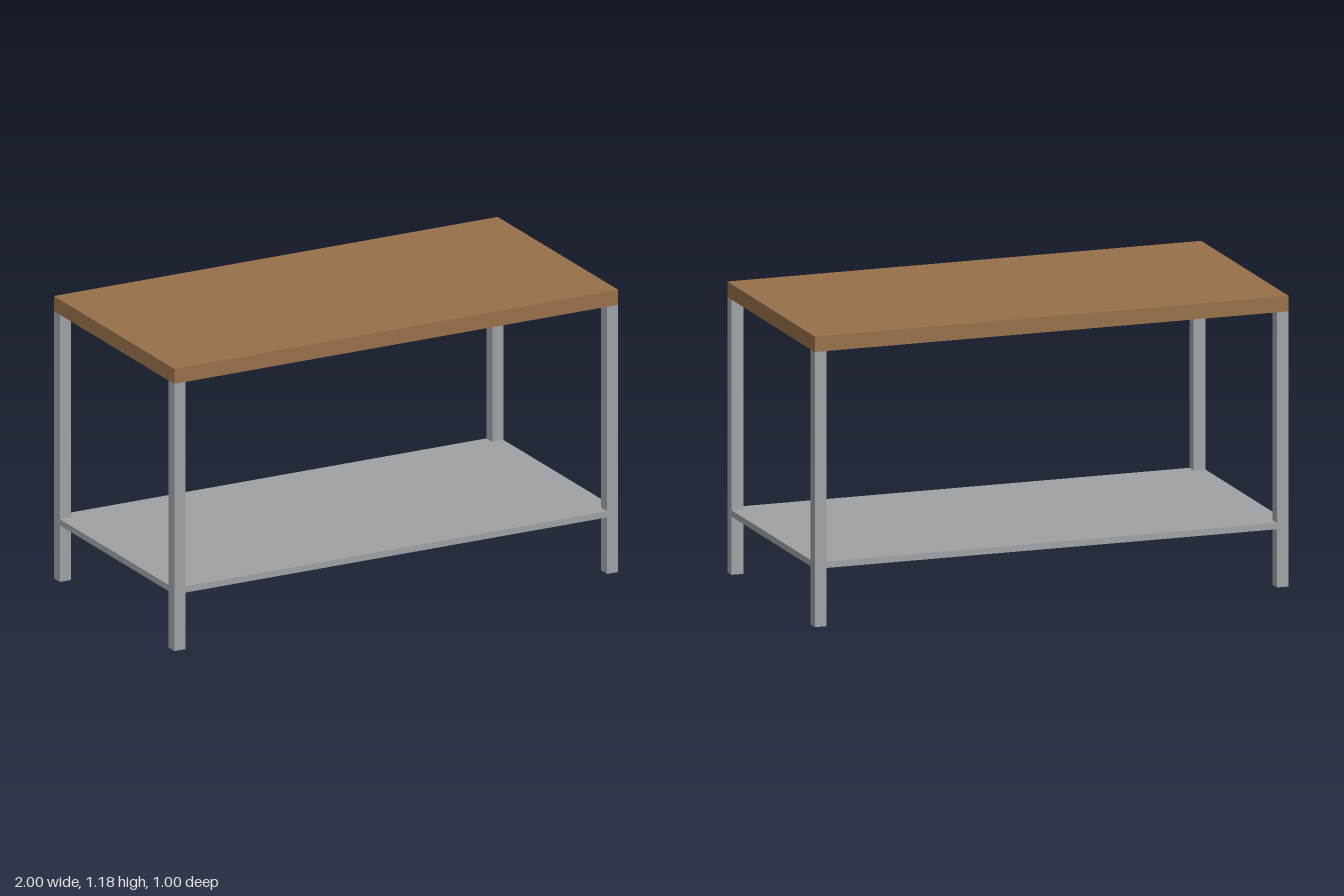
import * as THREE from 'three';

export function createModel() {
  const model = new THREE.Group();
  model.name = 'workbench';

  const wood = new THREE.MeshStandardMaterial({ color: 0x98704a });
  wood.name = 'brown wood';
  const steel = new THREE.MeshStandardMaterial({ color: 0x9fa3a6 });
  steel.name = 'grey steel';

  const W = 1, D = 0.5, leg = 0.05; // half width, half depth, leg thickness
  const legHeight = 1.12, topThickness = 0.063;
  const shelfY = 0.237, shelfThickness = 0.026;

  const add = (name, geometry, material, x, y, z) => {
    const mesh = new THREE.Mesh(geometry, material);
    mesh.name = name;
    mesh.position.set(x, y, z);
    model.add(mesh);
  };

  // Worktop slab
  add('worktop', new THREE.BoxGeometry(2 * W, topThickness, 2 * D), wood,
    0, legHeight + topThickness / 2, 0);

  // Four square legs, flush with the worktop corners
  const legGeometry = new THREE.BoxGeometry(leg, legHeight, leg);
  for (const [sx, side] of [[1, 'Left'], [-1, 'Right']]) {
    for (const [sz, end] of [[1, 'front'], [-1, 'back']]) {
      add(`${end}${side}Leg`, legGeometry, steel,
        sx * (W - leg / 2), legHeight / 2, sz * (D - leg / 2));
    }
  }

  // Lower shelf, notched at the corners to fit around the legs
  const w = W - leg, d = D - leg;
  const outline = new THREE.Shape([
    [-w, -D], [w, -D], [w, -d], [W, -d], [W, d], [w, d],
    [w, D], [-w, D], [-w, d], [-W, d], [-W, -d], [-w, -d],
  ].map(([x, y]) => new THREE.Vector2(x, y)));
  const shelf = new THREE.ExtrudeGeometry(outline, { depth: shelfThickness, bevelEnabled: false });
  shelf.rotateX(-Math.PI / 2);
  add('lowerShelf', shelf, steel, 0, shelfY, 0);

  return model;
}
